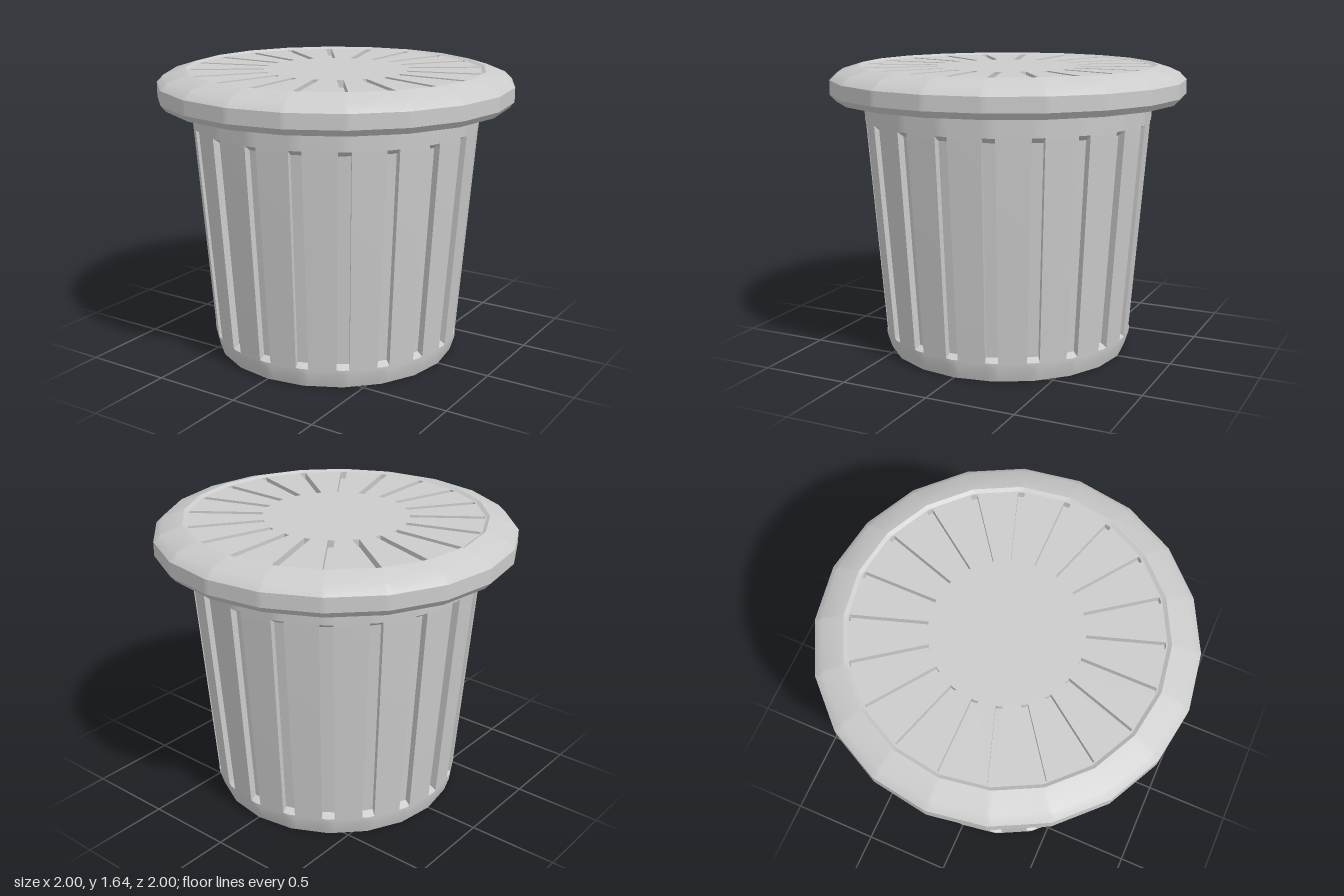
import * as THREE from 'three';
import { toCreasedNormals } from 'three/addons/utils/BufferGeometryUtils.js';

const SIDES = 20;

// Skins a 20-sided turned shape from rings [radius, y, cutIn, cutDown], listed
// from bottom centre to top centre. Every corner carries a groove of half width w;
// a ring with cutIn or cutDown has its groove sunk by that much.
function groovedLathe(rings, w) {
  const ringPoints = ([r, y, cutIn = 0, cutDown = 0]) => {
    const hw = r > 0 ? w : 0;
    const edge = r - hw * Math.tan(Math.PI / SIDES);
    const sunk = cutIn + cutDown > 0;
    const inner = sunk ? [edge - cutIn, y - cutDown] : [r, y];
    const ix = sunk ? hw : 0;
    const section = [[-hw, edge, y], [-ix, ...inner], [ix, ...inner], [hw, edge, y]];
    const pts = [];
    for (let k = 0; k < SIDES; k++) {
      const a = (k / SIDES) * Math.PI * 2, s = Math.sin(a), c = Math.cos(a);
      for (const [t, rad, h] of section) {
        pts.push(new THREE.Vector3(t * c + rad * s, h, rad * c - t * s));
      }
    }
    return pts;
  };

  const pos = [];
  const tri = new THREE.Triangle();
  const face = (a, b, c) => {
    tri.set(a, b, c);
    if (tri.getArea() > 1e-7) for (const p of [a, b, c]) pos.push(p.x, p.y, p.z);
  };
  for (let i = 0; i + 1 < rings.length; i++) {
    const lo = ringPoints(rings[i]), up = ringPoints(rings[i + 1]);
    const closing = rings[i].length > 2; // lower ring already sunk
    for (let j = 0; j < lo.length; j++) {
      const n = (j + 1) % lo.length;
      // Diagonal runs along the groove's end face
      if ((j % 4 === 2) !== closing) {
        face(lo[j], lo[n], up[j]);
        face(lo[n], up[n], up[j]);
      } else {
        face(lo[j], lo[n], up[n]);
        face(lo[j], up[n], up[j]);
      }
    }
  }
  const geo = new THREE.BufferGeometry();
  geo.setAttribute('position', new THREE.Float32BufferAttribute(pos, 3));
  return toCreasedNormals(geo, 0.5);
}

export function createModel() {
  const model = new THREE.Group();
  model.name = 'groovedPotWithLid';
  const material = new THREE.MeshStandardMaterial({ color: 0xcccccc });
  const add = (name, geometry) => {
    const mesh = new THREE.Mesh(geometry, material);
    mesh.name = name;
    model.add(mesh);
  };

  // Tapered body with upright grooves, sloped at both ends
  add('body', groovedLathe([
    [0, 0], [0.69, 0], [0.715, 0.08],
    [0.717, 0.11], [0.719, 0.13, 0.04], [0.808, 1.3, 0.04], [0.81, 1.33],
    [0.815, 1.445], [0, 1.445],
  ], 0.035));

  // Bevelled lid with a shallow recessed top and radial slots
  add('lid', groovedLathe([
    [0, 1.445], [0.97, 1.445], [1, 1.48], [1, 1.56], [0.96, 1.6],
    [0.84, 1.637], [0.82, 1.625],
    [0.812, 1.625], [0.812, 1.625, 0, 0.04], [0.405, 1.625, 0, 0.04], [0.405, 1.625],
    [0, 1.625],
  ], 0.018));

  return model;
}
